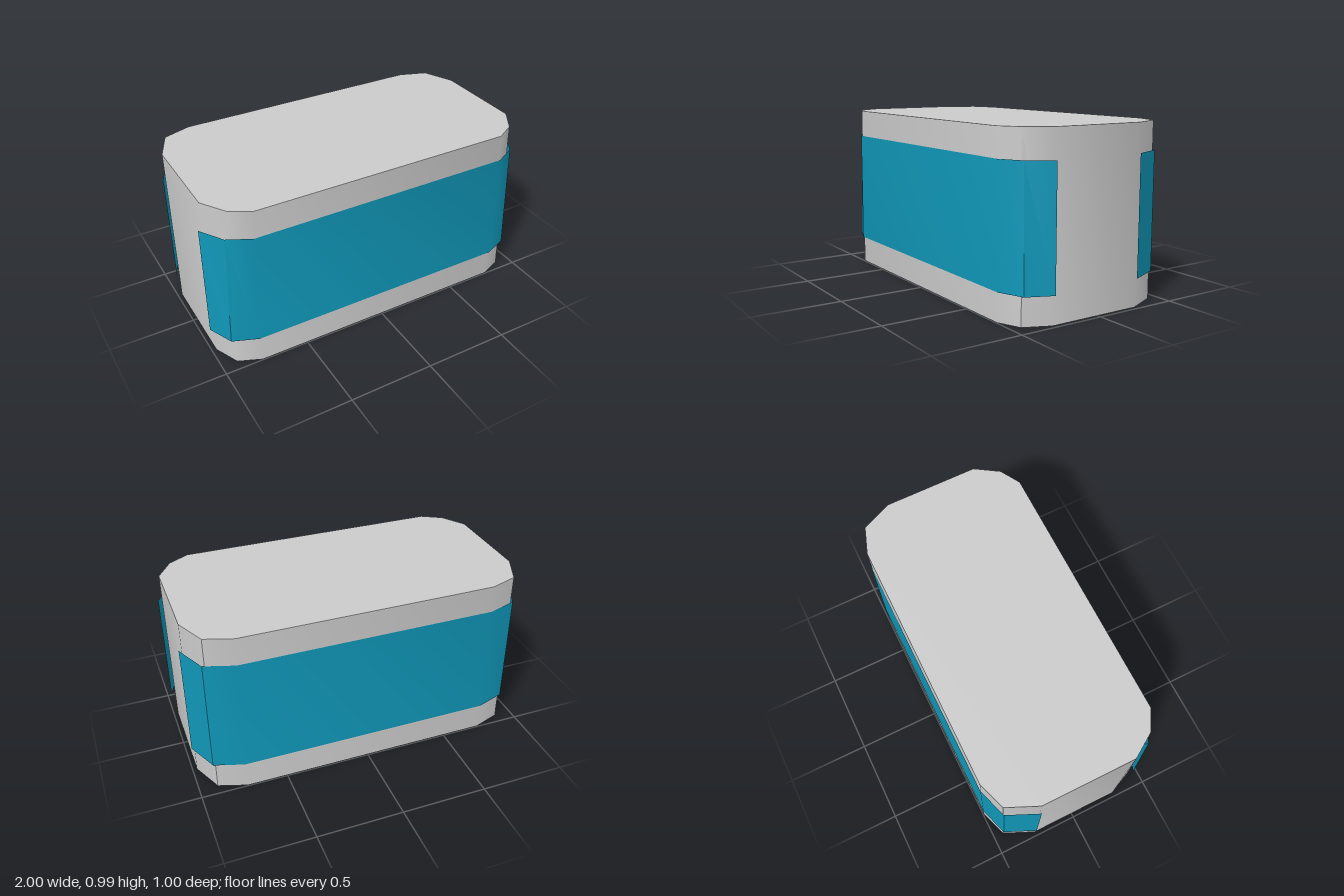
import * as THREE from 'three';
import { toCreasedNormals } from 'three/addons/utils/BufferGeometryUtils.js';

// Completes a right-hand half outline with its mirror image.
const mirror = (half) => [...half, ...half.slice().reverse().map(([x, z]) => [-x, z])];

// Wall between a lower and an upper [x, z] outline, optionally closed and capped.
function loft(lower, upper, y0, y1, solid) {
  const pos = [];
  const n = lower.length;
  const low = (i) => [lower[i % n][0], y0, lower[i % n][1]];
  const up = (i) => [upper[i % n][0], y1, upper[i % n][1]];
  const tri = (a, b, c) => pos.push(...a, ...b, ...c);
  for (let i = 0; i < (solid ? n : n - 1); i++) {
    tri(low(i), up(i), up(i + 1));
    tri(low(i), up(i + 1), low(i + 1));
  }
  if (solid) {
    for (let i = 1; i < n - 1; i++) {
      tri(up(0), up(i + 1), up(i));
      tri(low(0), low(i), low(i + 1));
    }
  }
  const geometry = new THREE.BufferGeometry();
  geometry.setAttribute('position', new THREE.Float32BufferAttribute(pos, 3));
  return toCreasedNormals(geometry, 0.6);
}

export function createModel() {
  const group = new THREE.Group();
  const add = (name, geometry, material) => {
    const mesh = new THREE.Mesh(geometry, material);
    mesh.name = name;
    group.add(mesh);
  };
  const grey = new THREE.MeshStandardMaterial({ color: 0xcccccc });
  const blue = new THREE.MeshStandardMaterial({ color: 0x1097b8, side: THREE.DoubleSide });

  // Chamfered block, its front corners leaning in slightly towards the top
  const back = [[0.735, -0.495], [0.895, -0.44], [0.975, -0.26]];
  const bottom = mirror([...back, [0.975, 0.295], [0.91, 0.44], [0.78, 0.495]]);
  const top = mirror([...back, [0.975, 0.29], [0.887, 0.427], [0.77, 0.495]]);
  add('body', loft(bottom, top, 0, 0.99, true), grey);

  // Thin bands wrapped around the front and back, ends standing off the sides
  const frontLow = mirror([[0.998, 0.295], [0.933, 0.441], [0.79, 0.498]]);
  const frontHigh = mirror([[0.998, 0.295], [0.912, 0.432], [0.78, 0.498]]);
  add('frontBand', loft(frontLow, frontHigh, 0.16, 0.83, false), blue);

  const backBand = mirror([[0.99, -0.26], [0.909, -0.442], [0.74, -0.498]].reverse());
  // start at the -x end so the outline runs the same way as the body's
  const backPath = [...backBand.slice(3), ...backBand.slice(0, 3)];
  add('backBand', loft(backPath, backPath, 0.16, 0.83, false), blue);

  return group;
}
